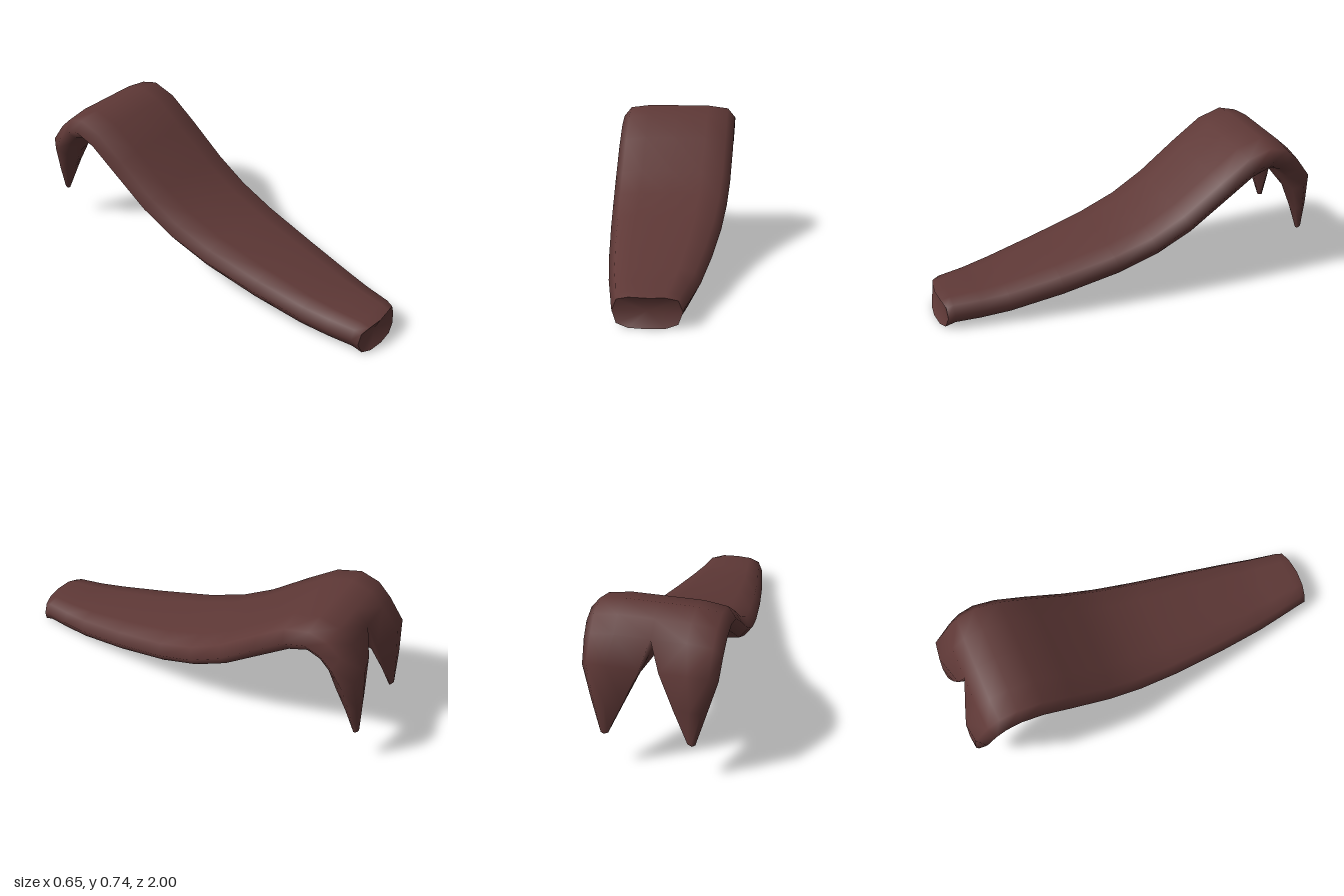
import * as THREE from 'three';
import { mergeVertices } from 'three/addons/utils/BufferGeometryUtils.js';

// Right half of the flattened cross-section: [across, through]
const HALF = [[0, 1], [0.52, 1], [0.87, 0.78], [1, 0], [0.87, -0.78], [0.52, -1], [0, -1]];
const FULL = [...HALF, ...HALF.slice(1, 6).reverse().map(([u, v]) => [-u, v])];

// Blade stations: upper z, y, lower z, y, half width
const BLADE = [
  [0.985, 0.135, 1.0, 0.0, 0.157],
  [0.93, 0.148, 0.925, 0.018, 0.165],
  [0.8, 0.155, 0.8, 0.024, 0.188],
  [0.66, 0.172, 0.65, 0.04, 0.215],
  [0.4, 0.222, 0.38, 0.09, 0.252],
  [0.12, 0.287, 0.09, 0.16, 0.284],
  [-0.08, 0.357, -0.12, 0.235, 0.302],
  [-0.25, 0.452, -0.3, 0.33, 0.313],
  [-0.45, 0.6, -0.5, 0.475, 0.32],
  [-0.6, 0.705, -0.64, 0.575, 0.322],
  [-0.73, 0.742, -0.73, 0.61, 0.323],
  [-0.83, 0.715, -0.79, 0.585, 0.321],
  [-0.9, 0.65, -0.835, 0.535, 0.317],
];

// Prong stations: upper z, y, lower z, y, inner x, outer x, inner edge thickness
const PRONG = [
  [-0.9, 0.65, -0.835, 0.535, 0, 0.317, 1],
  [-0.982, 0.54, -0.872, 0.45, 0.045, 0.31, 0.25],
  [-0.994, 0.36, -0.925, 0.315, 0.115, 0.265, 0.2],
  [-0.996, 0.19, -0.97, 0.175, 0.185, 0.22, 0.2],
];

// Point at thickness v (-1 lower, 1 upper) of a station
const place = ([tz, ty, bz, by], x, v) => [
  x, (ty + by) / 2 + (v * (ty - by)) / 2, (tz + bz) / 2 + (v * (tz - bz)) / 2,
];

function bladeRing(s, i) {
  return FULL.map(([u, v]) => {
    const p = place(s, u * s[4], v);
    if (i === 0) p[2] -= 0.03 * u * u; // bowed front rim
    return p;
  });
}

function prongRing(s, side) {
  const [, , , , inner, outer, edge] = s;
  return [...HALF, [0, 0]].map(([u, v]) =>
    place(s, side * (inner + u * (outer - inner)), u === 0 ? v * edge : v));
}

function addTriangle(out, a, b, c, flip) {
  if (flip) out.push(...a, ...c, ...b);
  else out.push(...a, ...b, ...c);
}

// Skin between consecutive rings
function addSkin(out, rings, flip = false) {
  for (let i = 0; i < rings.length - 1; i++) {
    const p = rings[i], q = rings[i + 1], n = p.length;
    for (let j = 0; j < n; j++) {
      const k = (j + 1) % n;
      addTriangle(out, p[j], p[k], q[j], flip);
      addTriangle(out, p[k], q[k], q[j], flip);
    }
  }
}

function addFan(out, ring, centre, flip) {
  ring.forEach((p, j) => addTriangle(out, centre, p, ring[(j + 1) % ring.length], flip));
}

function smoothGeometry(points) {
  let geometry = new THREE.BufferGeometry();
  geometry.setAttribute('position', new THREE.Float32BufferAttribute(points, 3));
  geometry = mergeVertices(geometry, 1e-4);
  geometry.computeVertexNormals();
  return geometry;
}

export function createModel() {
  const group = new THREE.Group();
  group.name = 'forkedBlade';
  const brown = new THREE.MeshStandardMaterial({ color: 0x5e3836 });
  brown.name = 'dark reddish brown';

  // Curved blade splitting into two mirrored prongs
  const skin = [];
  const rings = BLADE.map(bladeRing);
  addSkin(skin, rings);
  for (const side of [1, -1]) {
    const prong = PRONG.map((s) => prongRing(s, side));
    addSkin(skin, prong, side < 0);
    addFan(skin, prong[prong.length - 1], [side * 0.205, 0.174, -0.985], side < 0);
  }
  const blade = new THREE.Mesh(smoothGeometry(skin), brown);
  blade.name = 'bladeWithProngs';
  group.add(blade);

  // Hollowed front end
  const cap = [];
  addFan(cap, rings[0], [0, 0.068, 0.955], true);
  const end = new THREE.Mesh(smoothGeometry(cap), brown);
  end.name = 'frontEnd';
  group.add(end);

  return group;
}
